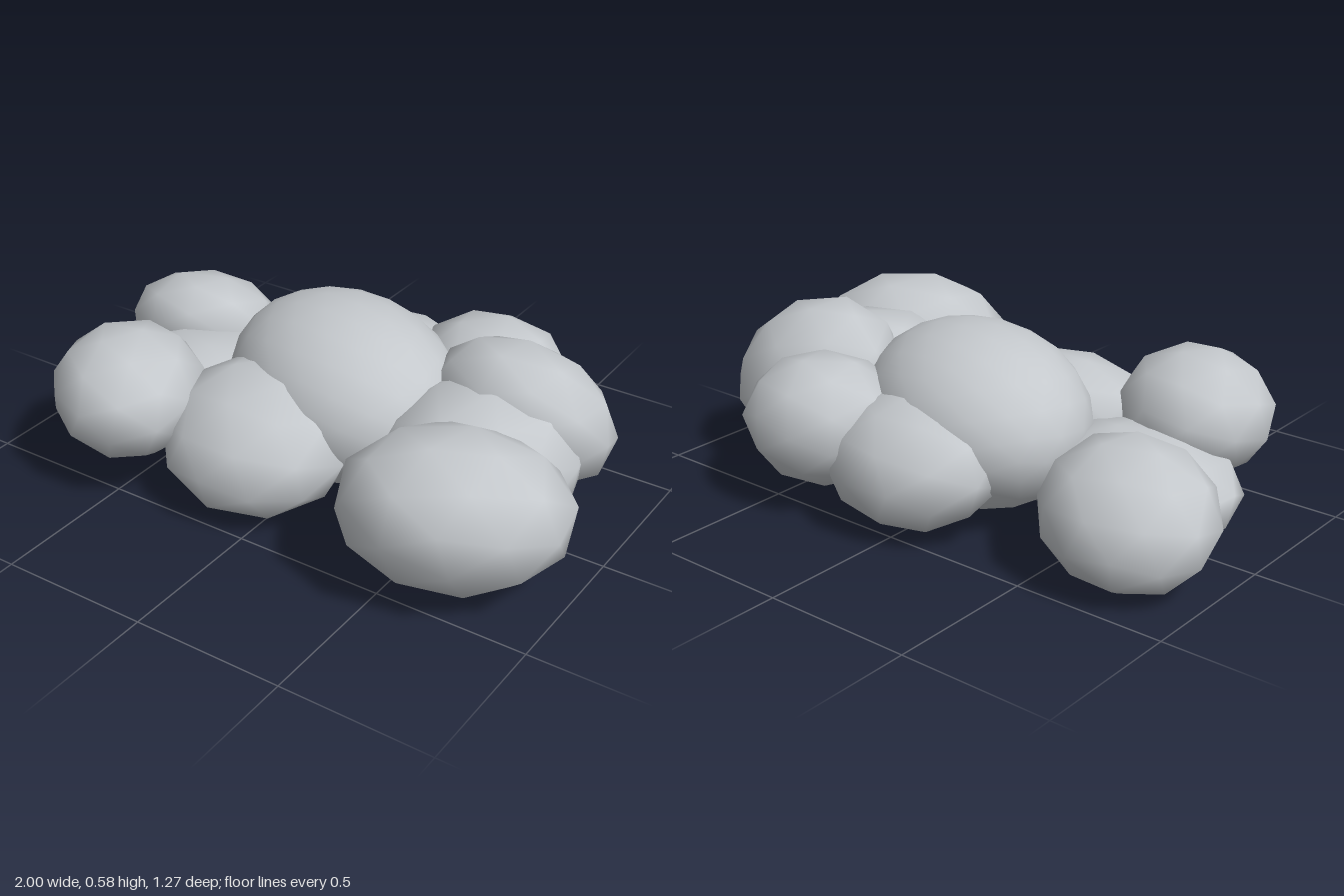
import * as THREE from 'three';

// name, min corner [x,y,z], max corner [x,y,z], facet turn [x,y,z], lean [x by z, x by y, z by y]
const LOBES = [
  ['frontLeftLobe', [0.305, 0.022, 0.01], [1.0, 0.51, 0.635], [0.3, 0.5, 0.2], [-0.15, 0, 0.08]],
  ['upperLeftLobe', [0.285, 0.08, -0.445], [0.91, 0.56, 0.05], [0.9, 0.2, 0.4], [0.05, -0.1, 0.22]],
  ['lowerLeftLobe', [0.25, 0.005, -0.37], [0.875, 0.485, 0.37], [0.1, 1.1, 0.6], [0, 0, 0]],
  ['backLeftLobe', [0.1, 0.07, -0.64], [0.64, 0.48, -0.16], [0.5, 0.8, 0.1], [0, 0, 0]],
  ['backLobe', [-0.29, 0.018, -0.605], [0.32, 0.43, -0.12], [0.7, 0.3, 0.9], [0, 0, 0.2]],
  ['frontLobe', [-0.44, 0.015, -0.04], [0.225, 0.43, 0.545], [0.2, 0.9, 0.5], [0, 0, -0.25]],
  ['frontRightLobe', [-0.815, 0.1, 0.085], [-0.28, 0.5, 0.635], [0.4, 0.1, 0.8], [0.15, 0, 0]],
  ['lowerRightLobe', [-0.88, 0.015, -0.28], [-0.25, 0.33, 0.33], [0.8, 0.6, 0.3], [0, 0.2, 0]],
  ['backRightLobe', [-1.0, 0.02, -0.51], [-0.445, 0.42, -0.025], [0.6, 0.4, 0.7], [0, 0.12, 0.25]],
];

// Smooth-shaded faceted ball, turned, leaned and then fitted to a box of the given size
function ballGeometry(detail, turn, lean, size) {
  const geo = new THREE.IcosahedronGeometry(1, detail);
  geo.rotateX(turn[0]).rotateY(turn[1]).rotateZ(turn[2]);
  geo.applyMatrix4(new THREE.Matrix4().set(
    1, lean[1], lean[0], 0,
    0, 1, 0, 0,
    0, lean[2], 1, 0,
    0, 0, 0, 1,
  ));
  geo.computeBoundingBox();
  const box = geo.boundingBox;
  const mid = box.getCenter(new THREE.Vector3());
  const span = box.getSize(new THREE.Vector3());
  geo.translate(-mid.x, -mid.y, -mid.z);
  geo.scale(size[0] / span.x, size[1] / span.y, size[2] / span.z);
  return geo;
}

export function createModel() {
  const group = new THREE.Group();
  group.name = 'lobedCluster';
  const grey = new THREE.MeshStandardMaterial({ color: 0xc4c8cc });
  grey.name = 'softGrey';

  // Large central body, longer than deep and swung toward the front left
  const core = new THREE.Mesh(ballGeometry(3, [0.2, 0.3, 0.1], [0, 0, 0], [0.9, 0.577, 0.7]), grey);
  core.name = 'centralBody';
  core.position.set(0.01, 0.2885, -0.07);
  core.rotation.y = -0.4;
  group.add(core);

  // Smaller lobes around it
  for (const [name, min, max, turn, lean] of LOBES) {
    const size = min.map((v, i) => max[i] - v);
    const lobe = new THREE.Mesh(ballGeometry(1, turn, lean, size), grey);
    lobe.name = name;
    lobe.position.set(...min.map((v, i) => (v + max[i]) / 2));
    group.add(lobe);
  }
  return group;
}
